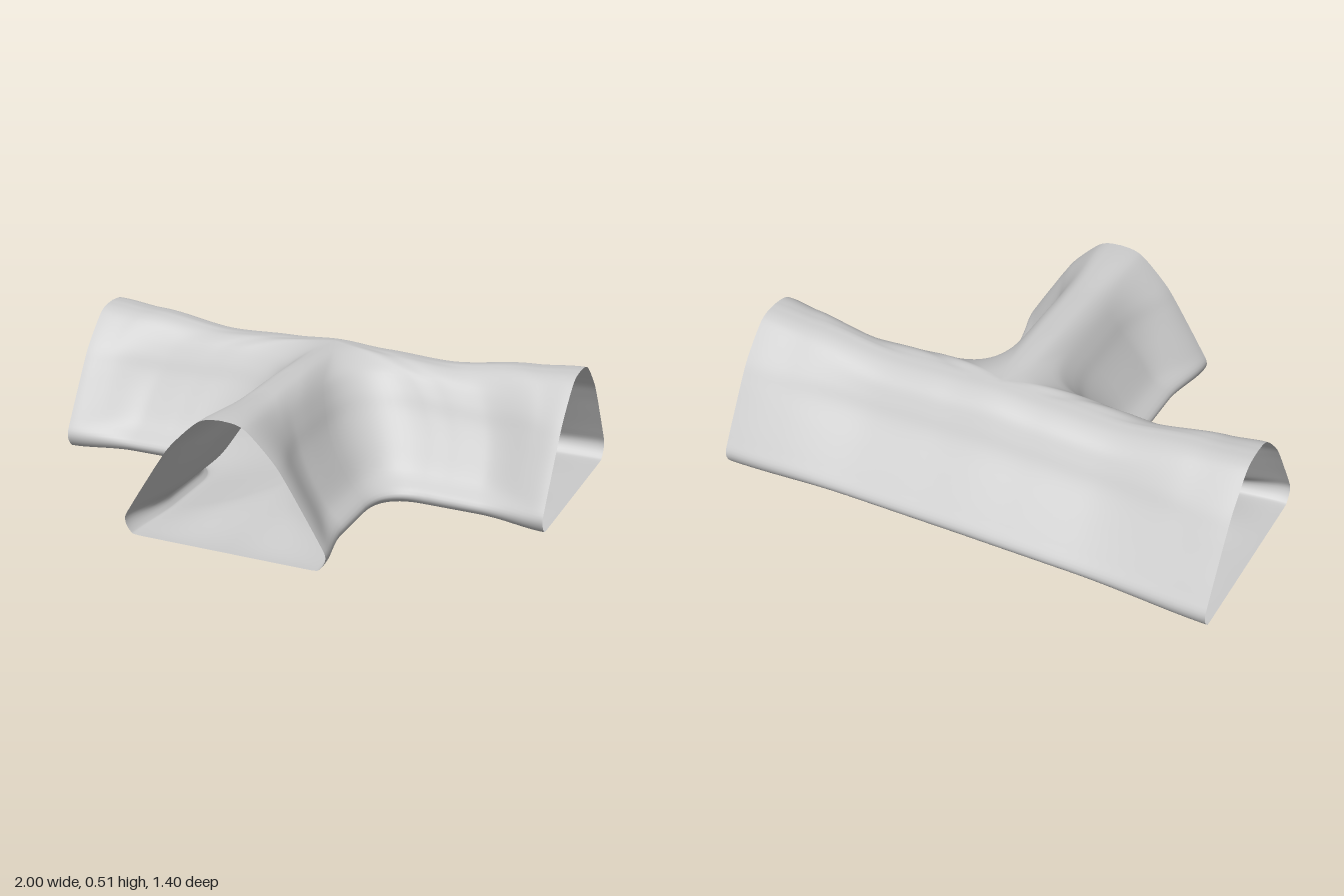
import * as THREE from 'three';
import { mergeGeometries, mergeVertices } from 'three/addons/utils/BufferGeometryUtils.js';

const SPINE_Z = -0.3; // ridge line of the straight tunnel
const ARM = 40, BEND = 14, AROUND = 48;

// Half sections, [distance from ridge, height], from ridge down the wall and back under the floor
const END = [[0, 0.51], [0.06, 0.503], [0.11, 0.475], [0.2, 0.385], [0.25, 0.315], [0.3, 0.235], [0.37, 0.12],
  [0.4, 0.06], [0.38, 0.012], [0.34, 0], [0.17, 0], [0, 0]];
const INNER = [[0, 0.51], [0.05, 0.503], [0.095, 0.465], [0.135, 0.395], [0.17, 0.315], [0.225, 0.215], [0.285, 0.12],
  [0.35, 0.06], [0.345, 0.022], [0.31, 0.012], [0.15, 0.045], [0, 0.06]];
const BACK = [[0, 0.51], [0.06, 0.495], [0.115, 0.455], [0.155, 0.39], [0.195, 0.315], [0.27, 0.215], [0.34, 0.12],
  [0.378, 0.06], [0.36, 0.02], [0.32, 0.01], [0.15, 0.045], [0, 0.06]];

// Smooth a half section into evenly indexed points
function smoothSection(points) {
  const curve = new THREE.CatmullRomCurve3(
    points.map(([d, y]) => new THREE.Vector3(d, y, 0)), false, 'catmullrom', 0.5);
  return Array.from({ length: AROUND + 1 }, (_, j) => curve.getPoint(j / AROUND));
}
const end = smoothSection(END), inner = smoothSection(INNER), back = smoothSection(BACK);

// Sag of the ridge: p = -1 arm mouth, 0 crossing, 1 branch mouth
const SAG = [[-1, 0], [-0.8, 0.015], [-0.45, 0.052], [-0.2, 0.042], [0, 0.03], [0.35, 0.022], [0.6, 0.02], [1, 0]];
function sag(p) {
  let k = 0;
  while (k < SAG.length - 2 && p > SAG[k + 1][0]) k++;
  const [a, b] = [SAG[k], SAG[k + 1]];
  return THREE.MathUtils.lerp(a[1], b[1], THREE.MathUtils.smoothstep(p, a[0], b[0]));
}

// Section point j at path position p, from the wide mouth to the pinched middle
function sectionPoint(j, p, middle) {
  const pinch = THREE.MathUtils.smoothstep(1 - Math.abs(p), 0, 0.55);
  const q = end[j].clone().lerp(middle[j], pinch);
  q.x = Math.max(0, q.x);
  q.y = Math.max(0, q.y - sag(p) * q.y / 0.51);
  return q;
}

// Grid surface from a point function
function sheet(rows, pointAt, flip) {
  const positions = [], index = [], w = AROUND + 1;
  for (let i = 0; i <= rows; i++)
    for (let j = 0; j <= AROUND; j++) positions.push(...pointAt(i, j));
  for (let i = 0; i < rows; i++)
    for (let j = 0; j < AROUND; j++) {
      const a = i * w + j, b = a + w, c = b + 1, d = a + 1;
      index.push(...(flip ? [a, d, b, b, d, c] : [a, b, d, b, c, d]));
    }
  const g = new THREE.BufferGeometry();
  g.setAttribute('position', new THREE.Float32BufferAttribute(positions, 3));
  g.setIndex(index);
  return g;
}

// Wall sweeping from one arm mouth round the inner corner to the branch mouth
function cornerWall(side) {
  return sheet(ARM * 2 + BEND, (i, j) => {
    let p = 0;
    if (i < ARM) p = i / ARM - 1;
    else if (i > ARM + BEND) p = (i - ARM - BEND) / ARM;
    const { x: d, y } = sectionPoint(j, p, inner);
    // Corner rounding: none at the ridge, widest halfway down the wall
    const r = 0.17 * Math.min(1, d / 0.1) + 0.1 * Math.sin(Math.PI * Math.min(1, d / 0.35)) ** 2;
    let x = d, z = d;
    if (i < ARM) x = THREE.MathUtils.lerp(1, d + r, i / ARM);
    else if (i > ARM + BEND) z = THREE.MathUtils.lerp(d + r, 1, p);
    else {
      const t = (i - ARM) / BEND;
      x = d + r * (1 - t) ** 2;
      z = d + r * t ** 2;
    }
    return [side * x, y, SPINE_Z + z];
  }, side < 0);
}

// Straight wall along the back of the tunnel
function backWall() {
  return sheet(ARM * 2, (i, j) => {
    const x = 1 - i / ARM;
    const q = sectionPoint(j, -Math.abs(x), back);
    return [x, q.y, SPINE_Z - q.x];
  }, true);
}

export function createModel() {
  const group = new THREE.Group();
  group.name = 'tunnelJunction';
  // Weld the three sheets along the ridge and floor lines
  const shell = mergeVertices(mergeGeometries([cornerWall(1), cornerWall(-1), backWall()]), 1e-4);
  shell.computeVertexNormals();
  const mesh = new THREE.Mesh(shell,
    new THREE.MeshStandardMaterial({ color: 0xcccccc, side: THREE.DoubleSide }));
  mesh.name = 'tunnelShell';
  group.add(mesh);
  return group;
}
